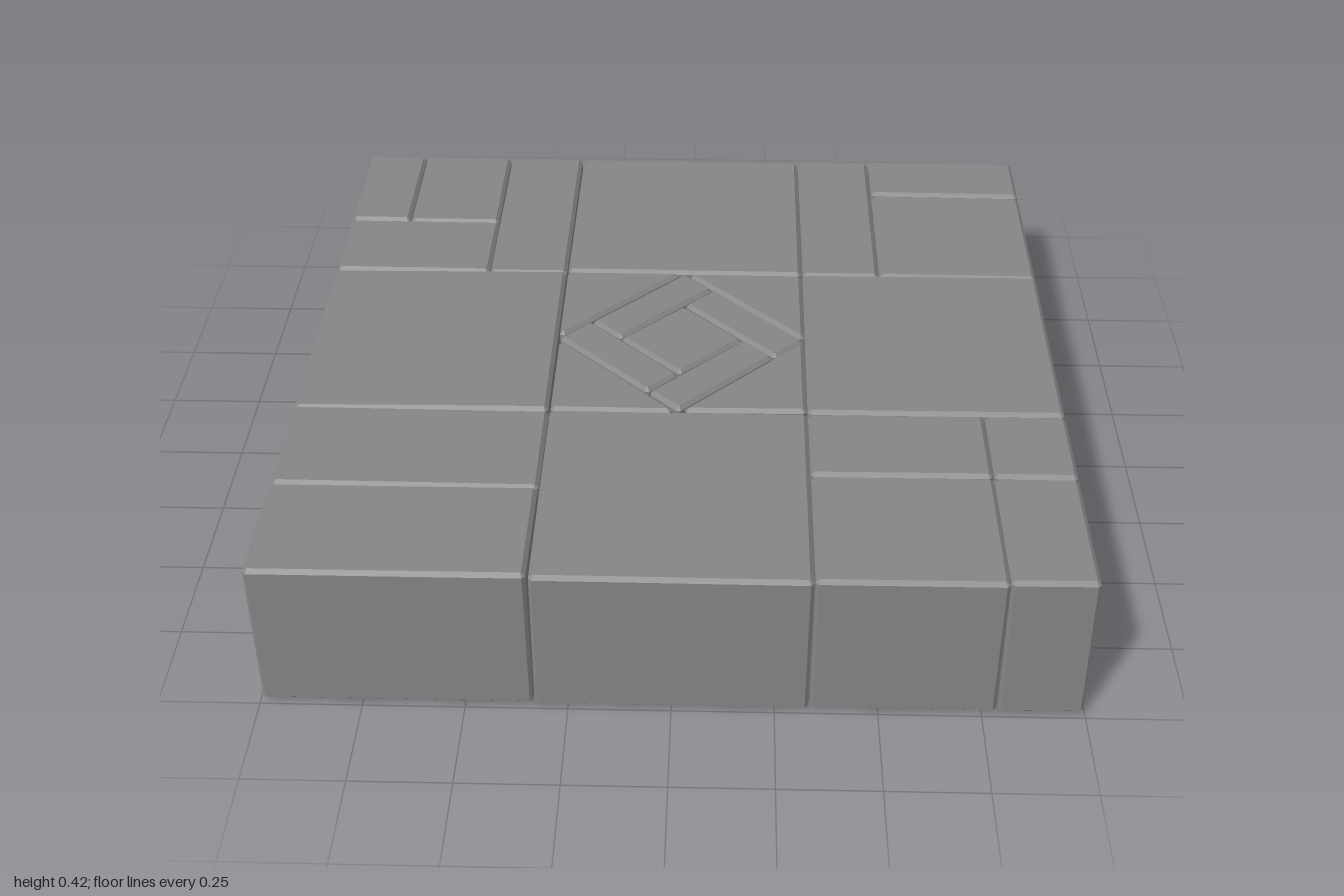
import * as THREE from 'three';

const material = new THREE.MeshStandardMaterial({ color: 0x868686, flatShading: true });
const BOTTOM = 0.008, TOP = 0.418, BEVEL = 0.01, GAP = 0.003, CHAMFER = 0.009;

// small seeded generator for the hand-laid unevenness, -1..1
let seed = 1;
function wobble() {
  seed = (seed * 16807) % 2147483647;
  return (seed / 2147483647) * 2 - 1;
}

// cut every corner of a footprint so the upright edges are chamfered too
function cutCorners(points) {
  const n = points.length;
  return points.flatMap((p, i) => {
    const before = points[(i + n - 1) % n].clone().sub(p).normalize();
    const after = points[(i + 1) % n].clone().sub(p).normalize();
    const cut = CHAMFER / Math.tan(Math.acos(before.dot(after)) / 2);
    return [p.clone().addScaledVector(before, cut), p.clone().addScaledVector(after, cut)];
  });
}

// a chamfered stone with the given footprint of [x, z] corners
function stone(name, corners) {
  const cx = corners.reduce((s, p) => s + p[0], 0) / corners.length;
  const cz = corners.reduce((s, p) => s + p[1], 0) / corners.length;
  const outline = corners.map(([x, z]) => new THREE.Vector2(x - cx, cz - z));
  const height = TOP - BOTTOM;
  const geometry = new THREE.ExtrudeGeometry(new THREE.Shape(cutCorners(outline)), {
    depth: height - 2 * BEVEL,
    bevelEnabled: true,
    bevelThickness: BEVEL,
    bevelSize: BEVEL,
    bevelOffset: -BEVEL - GAP / 2,
    bevelSegments: 1,
  });
  geometry.translate(0, 0, BEVEL - height / 2);
  geometry.rotateX(-Math.PI / 2);
  const mesh = new THREE.Mesh(geometry, material);
  mesh.name = name;
  mesh.position.set(cx, (TOP + BOTTOM) / 2 + wobble() * 0.002, cz);
  mesh.rotation.set(wobble() * 0.008, wobble() * 0.004, wobble() * 0.008);
  return mesh;
}

const rect = (x0, x1, z0, z1) => [[x0, z0], [x1, z0], [x1, z1], [x0, z1]];
const quarterTurn = ([x, z], n) => (n === 0 ? [x, z] : quarterTurn([-z, x], n - 1));

export function createModel() {
  seed = 77;
  const model = new THREE.Group();
  model.name = 'stoneFloorTile';
  const e = 0.995, d = 0.333;

  // rectangular paving stones around the centre: x0, x1, z0, z1
  const paving = {
    backLarge: [[-d, d, -e, -d]],
    frontLarge: [[-d, d, d, e]],
    rightLarge: [[-e, -d, -d, d]],
    leftLarge: [[d, e, -d, d]],
    backRight: [
      [-e, -0.82, -e, -0.61], [-0.82, -0.555, -e, -0.61],
      [-e, -0.555, -0.61, -d], [-0.555, -d, -e, -d],
    ],
    backLeft: [[d, 0.55, -e, -d], [0.55, e, -e, -0.79], [0.55, e, -0.79, -d]],
    frontRight: [[-e, -d, d, 0.658], [-e, -d, 0.658, e]],
    frontLeft: [
      [d, 0.785, d, 0.593], [0.785, e, d, 0.593],
      [d, 0.785, 0.593, e], [0.785, e, 0.593, e],
    ],
  };
  for (const [name, list] of Object.entries(paving)) {
    const group = new THREE.Group();
    group.name = name + 'Paving';
    for (const r of list) group.add(stone(name + 'Stone', rect(...r)));
    model.add(group);
  }

  // centre: corner triangles, pinwheel of planks and a small diamond
  const centre = new THREE.Group();
  centre.name = 'centreDiamond';
  const triangle = [[-d, -d], [0, -d], [-d, 0]];
  const plank = [[0, -d], [d / 4, -0.75 * d], [-d / 2, 0], [-0.75 * d, -d / 4]];
  for (let i = 0; i < 4; i++) {
    centre.add(stone('cornerTriangle', triangle.map(p => quarterTurn(p, i))));
    centre.add(stone('pinwheelPlank', plank.map(p => quarterTurn(p, i))));
  }
  centre.add(stone('diamondStone', [0, 1, 2, 3].map(i => quarterTurn([0, -d / 2], i))));
  model.add(centre);

  return model;
}
